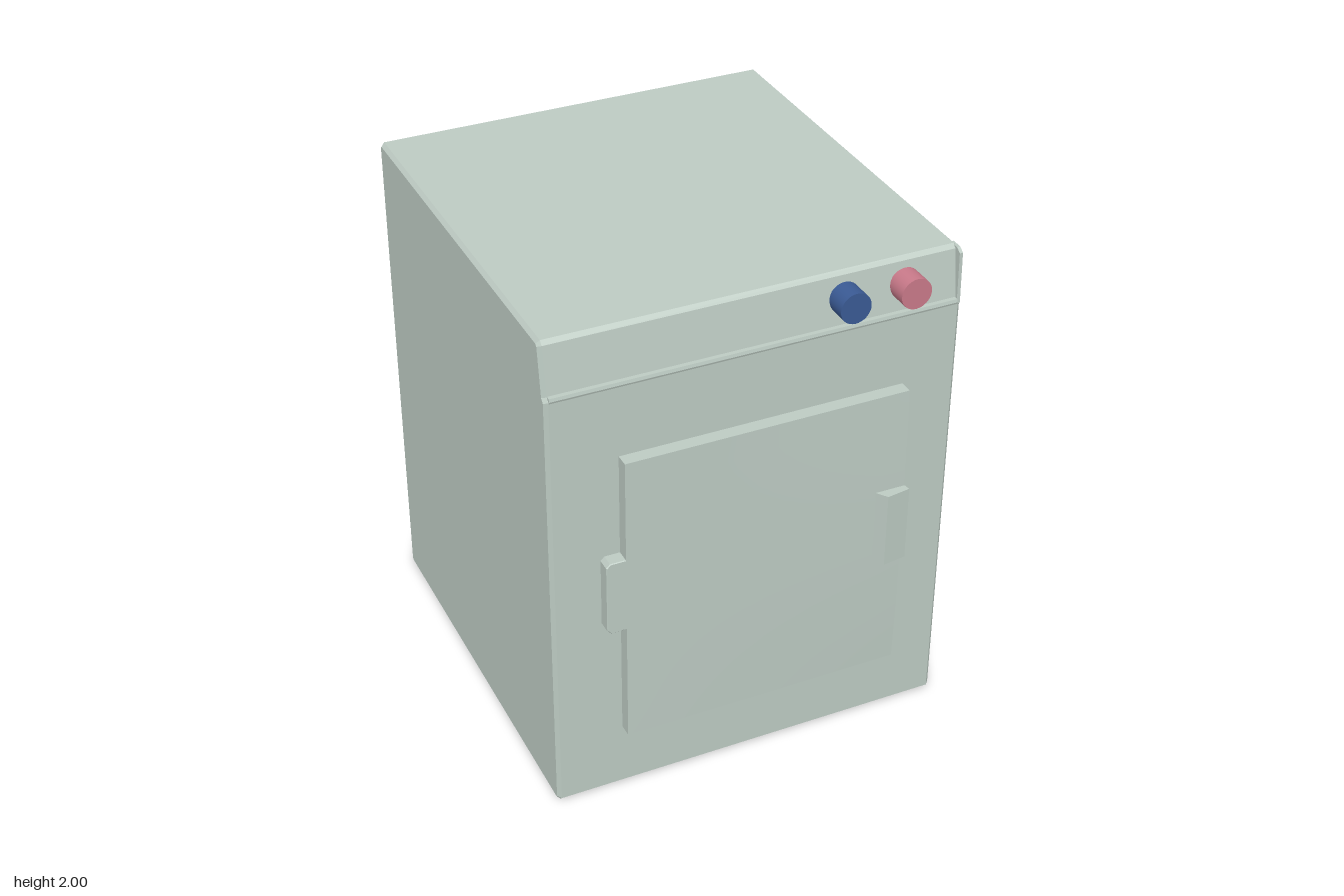
import * as THREE from 'three';

const enamel = new THREE.MeshStandardMaterial({ color: 0xbccac2 });
enamel.name = 'paleGreenEnamel';
const blue = new THREE.MeshStandardMaterial({ color: 0x3a5a94 });
blue.name = 'blueKnob';
const pink = new THREE.MeshStandardMaterial({ color: 0xc87989 });
pink.name = 'pinkKnob';

function add(group, name, geometry, material = enamel) {
  const mesh = new THREE.Mesh(geometry, material);
  mesh.name = name;
  group.add(mesh);
  return mesh;
}

const shapeOf = (points) => new THREE.Shape(points.map(([a, b]) => new THREE.Vector2(a, b)));

function extrude(points, depth, bevel) {
  return new THREE.ExtrudeGeometry(shapeOf(points), {
    depth: depth - 2 * bevel, steps: 1, bevelEnabled: bevel > 0, bevelSize: bevel,
    bevelThickness: bevel, bevelOffset: -bevel, bevelSegments: 1,
  }).translate(0, 0, bevel);
}

// Side profile given as [z, y], extruded between x0 and x1
function sideProfile(points, x0, x1, bevel = 0) {
  return extrude(points, x1 - x0, bevel).rotateY(-Math.PI / 2).translate(x1, 0, 0);
}

// Plan given as [x, z], extruded between y0 and y1
function plan(points, y0, y1, bevel = 0) {
  return extrude(points.map(([x, z]) => [x, -z]), y1 - y0, bevel)
    .rotateX(-Math.PI / 2).translate(0, y0, 0);
}

// Front outline given as [x, y], extruded between z0 and z1
function frontPlate(points, z0, z1, bevel = 0) {
  return extrude(points, z1 - z0, bevel).translate(0, 0, z0);
}

export function createModel() {
  const model = new THREE.Group();
  model.name = 'washingMachine';

  // Cabinet with bevelled edges and a sloping control fascia
  add(model, 'cabinet', sideProfile([
    [-0.865, 0], [0.762, 0], [0.777, 0.015], [0.777, 1.785], [0.762, 1.8],
    [0.735, 1.985], [0.72, 2], [-0.865, 2], [-0.88, 1.985], [-0.88, 0.015],
  ], -0.8, 0.8, 0.014));

  // Upright cheek closing the right end of the fascia
  add(model, 'fasciaCheek', sideProfile([
    [0.7, 1.78], [0.772, 1.78], [0.766, 1.98], [0.745, 1.995], [0.7, 1.995],
  ], 0.785, 0.798));

  // Narrow lip under the fascia
  add(model, 'fasciaLip', sideProfile([
    [0.74, 1.782], [0.779, 1.782], [0.782, 1.79], [0.779, 1.802], [0.74, 1.802],
  ], -0.785, 0.782));

  // Door, slightly bowed towards the handle side
  const door = new THREE.Group();
  door.name = 'door';
  model.add(door);
  const panel = new THREE.BoxGeometry(1.115, 1.22, 0.06, 12, 12, 1).translate(0.0225, 0.89, 0.8);
  const p = panel.attributes.position;
  for (let i = 0; i < p.count; i++) {
    if (p.getZ(i) < 0.81) continue;
    const across = (p.getX(i) + 0.535) / 1.115;
    const up = (p.getY(i) - 0.89) / 0.61;
    p.setZ(i, 0.83 + 0.01 * across * (1 - up * up));
  }
  panel.computeVertexNormals();
  add(door, 'doorPanel', panel);

  // Hinge cover with clipped outer corners
  add(door, 'hingeCover', frontPlate([
    [-0.53, 0.78], [-0.595, 0.78], [-0.61, 0.795], [-0.61, 1.075], [-0.595, 1.09], [-0.53, 1.09],
  ].reverse(), 0.77, 0.83, 0.003));

  // Handle, hollow on its outer side
  const handle = new THREE.Group();
  handle.name = 'handle';
  door.add(handle);
  const outline = [[0.455, 0.83], [0.49, 0.88], [0.585, 0.866], [0.58, 0.83]];
  const shell = [[0.455, 0.83], [0.49, 0.88], [0.585, 0.866], [0.584, 0.856], [0.51, 0.865], [0.49, 0.83]];
  add(handle, 'handleShell', plan(shell, 0.808, 1.062));
  add(handle, 'handleBottom', plan(outline, 0.78, 0.808));
  add(handle, 'handleTop', plan(outline, 1.062, 1.09));

  // Control knobs
  for (const [name, x, material] of [['blueKnob', 0.34, blue], ['pinkKnob', 0.58, pink]]) {
    const knob = new THREE.CylinderGeometry(0.06, 0.06, 0.09, 32).rotateX(Math.PI / 2);
    add(model, name, knob, material).position.set(x, 1.9, 0.787);
  }

  return model;
}
